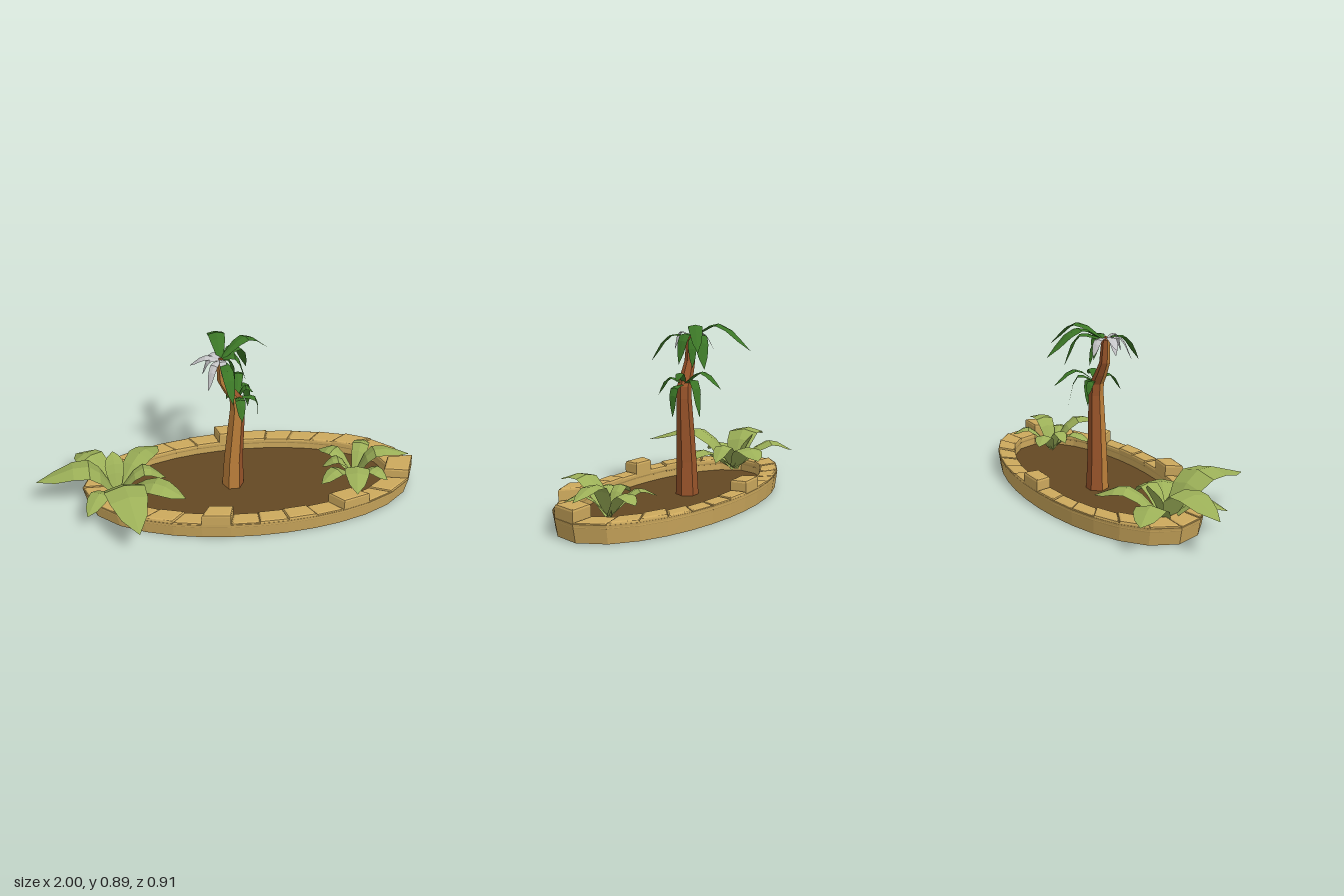
import * as THREE from 'three';

const mat = (name, color, side = THREE.FrontSide) => {
  const m = new THREE.MeshStandardMaterial({ color, side, flatShading: true });
  m.name = name;
  return m;
};
const V = (x, y, z) => new THREE.Vector3(x, y, z);

// Flat-shaded skin between rows of points
function loft(rows) {
  const pos = [];
  for (let i = 0; i < rows.length - 1; i++) {
    for (let j = 0; j < rows[i].length - 1; j++) {
      const a = rows[i][j], b = rows[i][j + 1], c = rows[i + 1][j + 1], d = rows[i + 1][j];
      for (const p of [a, b, c, a, c, d]) pos.push(p.x, p.y, p.z);
    }
  }
  const g = new THREE.BufferGeometry();
  g.setAttribute('position', new THREE.Float32BufferAttribute(pos, 3));
  g.computeVertexNormals();
  return g;
}

// Planter ellipse
const CX = 0.115, CZ = -0.065, STONES = 28;
const onEllipse = (a, b, t, y = 0) => V(CX + a * Math.cos(t), y, CZ - b * Math.sin(t));

// Angles that divide the rim into stones of equal length
function seamAngles() {
  const steps = 2800, lengths = [0];
  for (let i = 1; i <= steps; i++) {
    const t = ((i - 0.5) / steps) * Math.PI * 2;
    lengths.push(lengths[i - 1] + Math.hypot(0.885 * Math.sin(t), 0.392 * Math.cos(t)));
  }
  const out = [];
  for (let k = 0; k <= STONES; k++) {
    const target = (lengths[steps] * k) / STONES;
    const i = lengths.findIndex((l) => l >= target - 1e-6);
    out.push((i / steps) * Math.PI * 2);
  }
  return out;
}

export function createModel() {
  const model = new THREE.Group();
  const stone = mat('sandstone', 0xcda95d);
  const earth = mat('soil', 0x644823);
  const barkLight = mat('light bark', 0xbd7f3a);
  const bark = mat('bark', 0x99542a);
  const palm = mat('palm green', 0x3b7626, THREE.DoubleSide);
  const silver = mat('silver leaf', 0xc6c6c8, THREE.DoubleSide);
  const bush = mat('bush green', 0x9cb058, THREE.DoubleSide);

  const add = (parent, name, geometry, material) => {
    const m = new THREE.Mesh(geometry, material);
    m.name = name;
    parent.add(m);
    return m;
  };
  const group = (name) => {
    const g = new THREE.Group();
    g.name = name;
    model.add(g);
    return g;
  };

  // Planter wall: outer face, top, inner face, underside
  const seams = seamAngles();
  const wallProfile = [[0.865, 0.382, 0], [0.885, 0.392, 0.087], [0.75, 0.312, 0.087], [0.75, 0.312, 0], [0.865, 0.382, 0]];
  add(model, 'planterWall', loft(wallProfile.map(([a, b, y]) => seams.map((t) => onEllipse(a, b, t, y)))), stone);

  // Soil bed
  const soil = add(model, 'soil', new THREE.CylinderGeometry(1, 1, 0.028, 56), earth);
  soil.scale.set(0.752, 1, 0.314);
  soil.position.set(CX, 0.016, CZ);

  // Rim stones, a few of them standing taller
  const rim = group('rimStones');
  const tall = [7, 19, 24, 27];
  const lowHeights = [0.095, 0.105, 0.093, 0.1, 0.097];
  for (let k = 0; k < STONES; k++) {
    const t0 = seams[k], t1 = seams[k + 1];
    const corners = [onEllipse(0.882, 0.391, t0), onEllipse(0.882, 0.391, t1), onEllipse(0.745, 0.308, t1), onEllipse(0.745, 0.308, t0)];
    const shape = new THREE.Shape(corners.map((p) => new THREE.Vector2(p.x, -p.z)));
    const top = tall.includes(k) ? 0.15 : lowHeights[(k * 3) % 5];
    const bevel = 0.012, bottom = 0.06;
    const g = new THREE.ExtrudeGeometry(shape, {
      depth: top - bottom - 2 * bevel, bevelEnabled: true, bevelSize: bevel,
      bevelThickness: bevel, bevelOffset: -bevel, bevelSegments: 2,
    });
    g.rotateX(-Math.PI / 2).translate(0, bottom + bevel, 0);
    add(rim, 'rimStone', g, stone);
  }

  // Leaning six-sided trunk: height, centre x, centre z, radius
  const trunk = group('trunk');
  const sections = [
    [0.025, 0.028, -0.085, 0.058], [0.2, 0.03, -0.083, 0.05], [0.4, 0.042, -0.08, 0.043], [0.52, 0.049, -0.078, 0.038],
    [0.58, 0.045, -0.077, 0.036], [0.63, 0.012, -0.073, 0.033], [0.7, -0.027, -0.069, 0.027], [0.82, -0.038, -0.068, 0.021],
  ];
  const trunkFaces = (from, to) => loft(sections.map(([y, x, z, r]) => {
    const row = [];
    for (let k = from; k <= to; k++) {
      const t = (k * Math.PI) / 3;
      row.push(V(x + r * Math.cos(t), y, z - r * Math.sin(t)));
    }
    return row;
  }));
  add(trunk, 'trunkFront', trunkFaces(3, 5), barkLight);
  add(trunk, 'trunkBack', trunkFaces(-1, 3), bark);
  const cap = add(trunk, 'trunkTop', new THREE.ConeGeometry(0.022, 0.02, 6), bark);
  cap.position.set(-0.038, 0.828, -0.068);

  // Pointed leaf, arched through a peak and folded along its midrib
  const outline = [0.3, 0.6, 0.88, 1, 0.92, 0.62, 0];
  function leaf(parent, base, tip, peakAt, peakY, width, material) {
    const peak = base.clone().lerp(tip, peakAt).setY(peakY);
    const curve = new THREE.CatmullRomCurve3([base, peak, tip]);
    const side = V(tip.z - base.z, 0, base.x - tip.x).normalize();
    const rows = outline.map((w, i) => {
      const p = curve.getPoint(i / (outline.length - 1));
      const half = (w * width) / 2;
      const edge = (s) => p.clone().addScaledVector(side, s * half).add(V(0, -half * 0.22, 0));
      return [edge(-1), p, edge(1)];
    });
    add(parent, 'leaf', loft(rows), material);
  }
  // Each leaf: tip x, y, z, position of peak, height of peak, width
  function crown(name, base, leaves, material) {
    const g = group(name);
    for (const [x, y, z, at, top, w] of leaves) leaf(g, base, V(x, y, z), at, top, w, material);
  }

  crown('upperCrown', V(-0.035, 0.82, -0.08), [
    [-0.05, 0.76, -0.395, 0.45, 0.89, 0.085],
    [0.225, 0.765, -0.25, 0.5, 0.89, 0.07],
    [0, 0.69, 0.14, 0.55, 0.825, 0.06],
    [0.11, 0.675, -0.225, 0.6, 0.84, 0.075],
    [0.09, 0.69, -0.07, 0.55, 0.84, 0.06],
    [0.04, 0.67, -0.12, 0.6, 0.8, 0.045],
  ], palm);

  crown('lowerCrown', V(0.05, 0.59, -0.08), [
    [0.055, 0.53, 0.065, 0.55, 0.622, 0.05],
    [0.155, 0.435, -0.073, 0.85, 0.58, 0.045],
    [0.12, 0.44, -0.205, 0.62, 0.62, 0.05],
    [0.08, 0.58, -0.3, 0.5, 0.66, 0.055],
    [0.13, 0.61, -0.08, 0.5, 0.65, 0.045],
    [0.0, 0.53, -0.15, 0.6, 0.6, 0.04],
  ], palm);

  crown('silverCrown', V(-0.035, 0.825, -0.065), [
    [-0.13, 0.75, -0.06, 0.6, 0.835, 0.045],
    [-0.11, 0.715, 0.04, 0.55, 0.83, 0.04],
    [-0.1, 0.75, -0.17, 0.6, 0.83, 0.045],
    [-0.19, 0.79, -0.085, 0.5, 0.84, 0.045],
    [-0.03, 0.75, 0.02, 0.6, 0.845, 0.035],
  ], silver);

  crown('leftBush', V(-0.59, 0.05, -0.04), [
    [-1, 0.185, -0.015, 0.33, 0.25, 0.17],
    [-0.49, 0.185, 0.45, 0.4, 0.262, 0.21],
    [-0.8, 0.14, -0.3, 0.6, 0.2, 0.15],
    [-0.355, 0.15, -0.3, 0.55, 0.2, 0.14],
    [-0.24, 0.115, 0.12, 0.55, 0.175, 0.14],
    [-0.745, 0.11, 0.2, 0.55, 0.17, 0.11],
    [-0.33, 0.12, -0.06, 0.55, 0.2, 0.1],
    [-0.6, 0.25, -0.15, 0.6, 0.2, 0.1],
  ], bush);

  crown('rightBush', V(0.68, 0.05, -0.04), [
    [0.62, 0.18, 0.27, 0.45, 0.225, 0.13],
    [0.97, 0.17, -0.045, 0.33, 0.215, 0.1],
    [0.51, 0.13, -0.195, 0.6, 0.17, 0.09],
    [0.77, 0.14, -0.24, 0.6, 0.18, 0.09],
    [0.47, 0.125, 0.1, 0.55, 0.165, 0.09],
    [0.82, 0.125, 0.11, 0.55, 0.16, 0.08],
    [0.5, 0.13, -0.04, 0.55, 0.18, 0.07],
  ], bush);

  return model;
}
